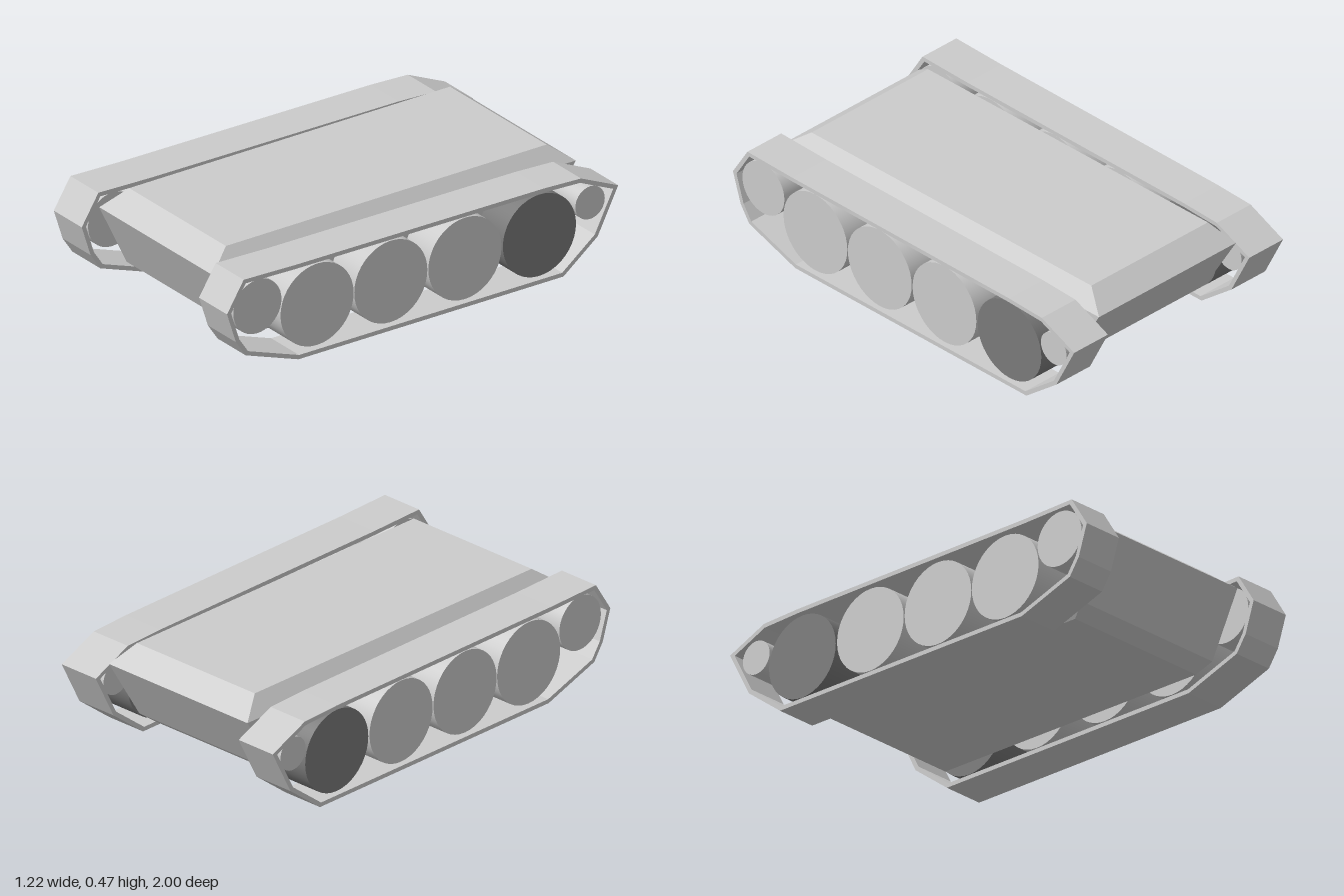
import * as THREE from 'three';

const grey = new THREE.MeshStandardMaterial({ color: 0xcccccc, flatShading: true });
const smoothGrey = new THREE.MeshStandardMaterial({ color: 0xcccccc });
const darkGrey = new THREE.MeshStandardMaterial({ color: 0x7a7a7a });

// Track outline as [z, y], running from the nose over the top to the rear and back underneath
const TRACK = [
  [1.0, 0.325], [0.915, 0.46], [0.65, 0.453], [-0.62, 0.443], [-0.81, 0.435], [-1.0, 0.35],
  [-0.895, 0.145], [-0.72, 0.01], [0.635, 0.015], [0.905, 0.11], [0.955, 0.185],
].map(([z, y]) => new THREE.Vector2(z, y));

// Shrinks a counter-clockwise outline by d with mitred corners
function inset(points, d) {
  const n = points.length;
  const normal = (a, b) => {
    const e = b.clone().sub(a).normalize();
    return new THREE.Vector2(-e.y, e.x);
  };
  return points.map((p, i) => {
    const n1 = normal(points[(i + n - 1) % n], p);
    const n2 = normal(p, points[(i + 1) % n]);
    const m = n1.clone().add(n2);
    return p.clone().addScaledVector(m, d / (1 + n1.dot(n2)));
  });
}

// Hull: rectangles stacked from the floor to the deck, joined by flat plates
function hullGeometry() {
  // [y, half width, front z, back z]
  const levels = [
    [0.06, 0.37, 0.715, -0.69], [0.11, 0.4, 0.78, -0.755],
    [0.4, 0.4, 0.92, -0.935], [0.48, 0.34, 0.81, -0.83],
  ];
  const positions = [];
  for (const [y, w, f, b] of levels) positions.push(w, y, f, w, y, b, -w, y, b, -w, y, f);
  const index = [0, 2, 1, 0, 3, 2];
  for (let l = 0; l < levels.length - 1; l++) {
    for (let i = 0; i < 4; i++) {
      const a = l * 4 + i, b = l * 4 + (i + 1) % 4;
      index.push(a, b, b + 4, a, b + 4, a + 4);
    }
  }
  const t = (levels.length - 1) * 4;
  index.push(t, t + 1, t + 2, t, t + 2, t + 3);
  const g = new THREE.BufferGeometry();
  g.setAttribute('position', new THREE.Float32BufferAttribute(positions, 3));
  g.setIndex(index);
  const flat = g.toNonIndexed();
  flat.computeVertexNormals();
  return flat;
}

// Track band: a thin closed loop extruded across its width, centred on x = 0
function trackGeometry(width) {
  const shape = new THREE.Shape(TRACK.slice().reverse());
  shape.holes.push(new THREE.Path(inset(TRACK, 0.019)));
  const g = new THREE.ExtrudeGeometry(shape, { depth: width, bevelEnabled: false });
  return g.rotateY(-Math.PI / 2).translate(width / 2, 0, 0);
}

function wheel(name, z, y, r, material) {
  const g = new THREE.CylinderGeometry(r, r, 0.17, 40).rotateZ(Math.PI / 2);
  const m = new THREE.Mesh(g, material);
  m.name = name;
  m.position.set(0, y, z);
  return m;
}

export function createModel() {
  const model = new THREE.Group();
  model.name = 'trackedChassis';

  const hull = new THREE.Mesh(hullGeometry(), grey);
  hull.name = 'hull';
  model.add(hull);

  const band = trackGeometry(0.197);
  for (const side of [1, -1]) {
    const unit = new THREE.Group();
    unit.name = side > 0 ? 'leftRunningGear' : 'rightRunningGear';
    unit.position.x = side * 0.511;

    const track = new THREE.Mesh(band, grey);
    track.name = 'track';
    unit.add(track);

    // Front wheel, four road wheels (the last one dark) and small rear wheel
    unit.add(wheel('frontWheel', 0.835, 0.31, 0.123, smoothGrey));
    [0.53, 0.153, -0.226, -0.607].forEach((z, i) => {
      unit.add(wheel('roadWheel' + (i + 1), z, 0.233 - i * 0.002, 0.187, i === 3 ? darkGrey : smoothGrey));
    });
    unit.add(wheel('rearWheel', -0.866, 0.303, 0.075, smoothGrey));
    model.add(unit);
  }

  // Rest the tracks on the ground
  model.children.forEach((c) => { c.position.y -= 0.005; });
  return model;
}
